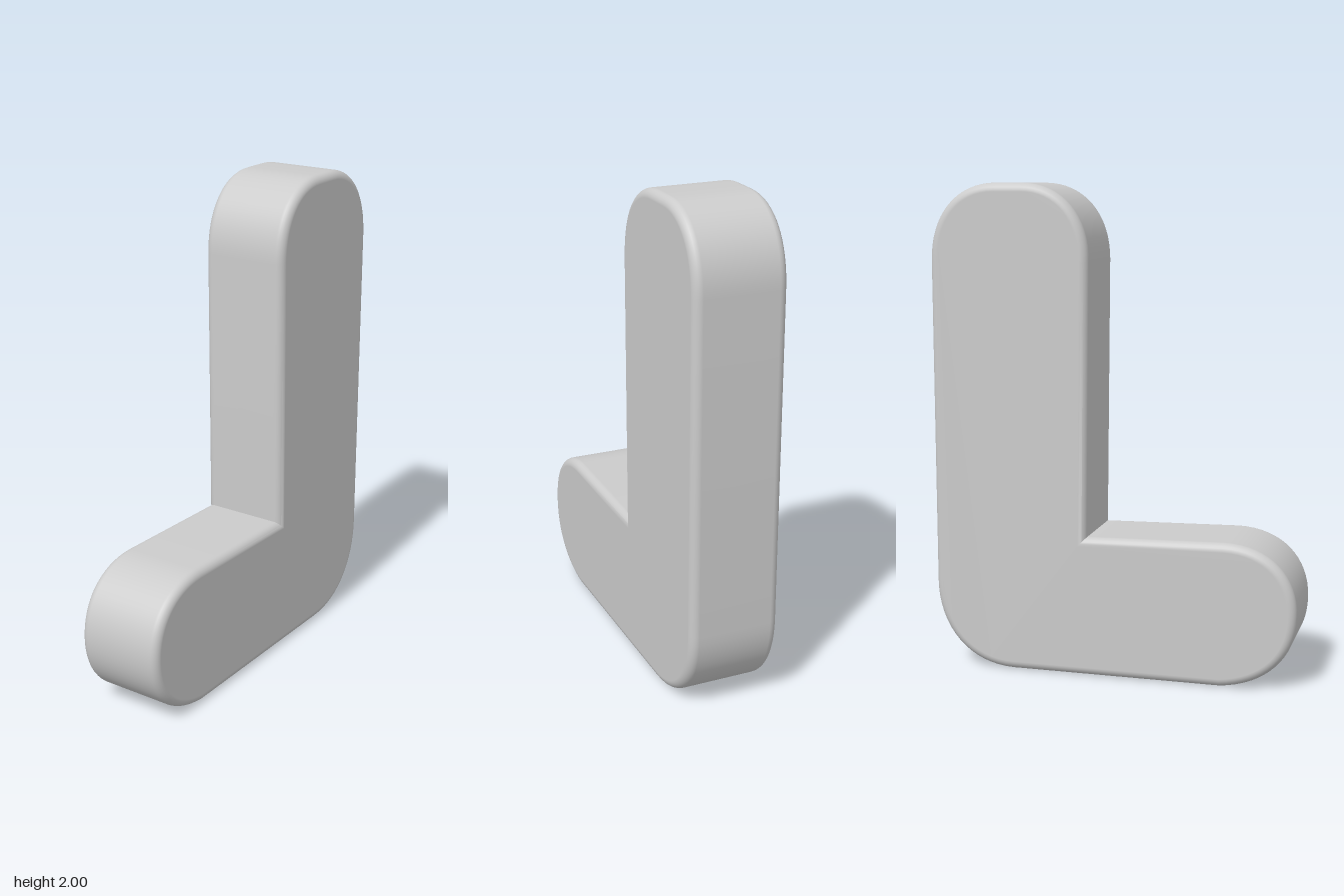
import * as THREE from 'three';
import { toCreasedNormals } from 'three/addons/utils/BufferGeometryUtils.js';

const HALF = 0.185; // half the slab's thickness
const BEVEL = 0.035; // radius of the rounded rim

// Side outline of the boot: shape x runs along world z, shape y is up
function bootOutline() {
  const s = new THREE.Shape();
  s.moveTo(-0.42, 0);
  s.lineTo(0.45, 0);
  s.bezierCurveTo(0.64, 0.02, 0.757, 0.14, 0.757, 0.31); // toe, lower
  s.bezierCurveTo(0.757, 0.47, 0.65, 0.59, 0.46, 0.592); // toe, upper
  s.lineTo(-0.105, 0.58); // inner corner
  s.lineTo(-0.093, 1.69);
  s.bezierCurveTo(-0.093, 1.87, -0.2, 2, -0.37, 2); // top front
  s.lineTo(-0.48, 2);
  s.bezierCurveTo(-0.65, 2, -0.757, 1.87, -0.757, 1.69); // top back
  s.lineTo(-0.757, 0.36);
  s.bezierCurveTo(-0.757, 0.15, -0.62, 0, -0.42, 0); // heel
  return s;
}

// Rounds the rim's shading: normals turn from the wall to the flat side across the bevel
function smoothRim(geometry) {
  const p = geometry.attributes.position, n = geometry.attributes.normal;
  for (let i = 0; i < p.count; i++) {
    const x = p.getX(i);
    const d = THREE.MathUtils.clamp((Math.abs(x) - HALF + BEVEL) / BEVEL, 0, 1);
    const across = Math.hypot(n.getY(i), n.getZ(i)) || 1;
    const k = Math.sqrt(1 - d * d) / across;
    n.setXYZ(i, Math.sign(x) * d, n.getY(i) * k, n.getZ(i) * k);
  }
}

export function createModel() {
  const group = new THREE.Group();
  group.name = 'bootShape';

  let geometry = new THREE.ExtrudeGeometry(bootOutline(), {
    depth: 2 * (HALF - BEVEL),
    curveSegments: 16,
    bevelEnabled: true,
    bevelThickness: BEVEL,
    bevelSize: BEVEL,
    bevelOffset: -BEVEL,
    bevelSegments: 6,
  });
  geometry.translate(0, 0, BEVEL - HALF);
  geometry.rotateY(-Math.PI / 2);
  geometry = toCreasedNormals(geometry, 0.6);
  smoothRim(geometry);

  const boot = new THREE.Mesh(geometry, new THREE.MeshStandardMaterial({ color: 0xcccccc }));
  boot.name = 'boot';
  group.add(boot);
  return group;
}
